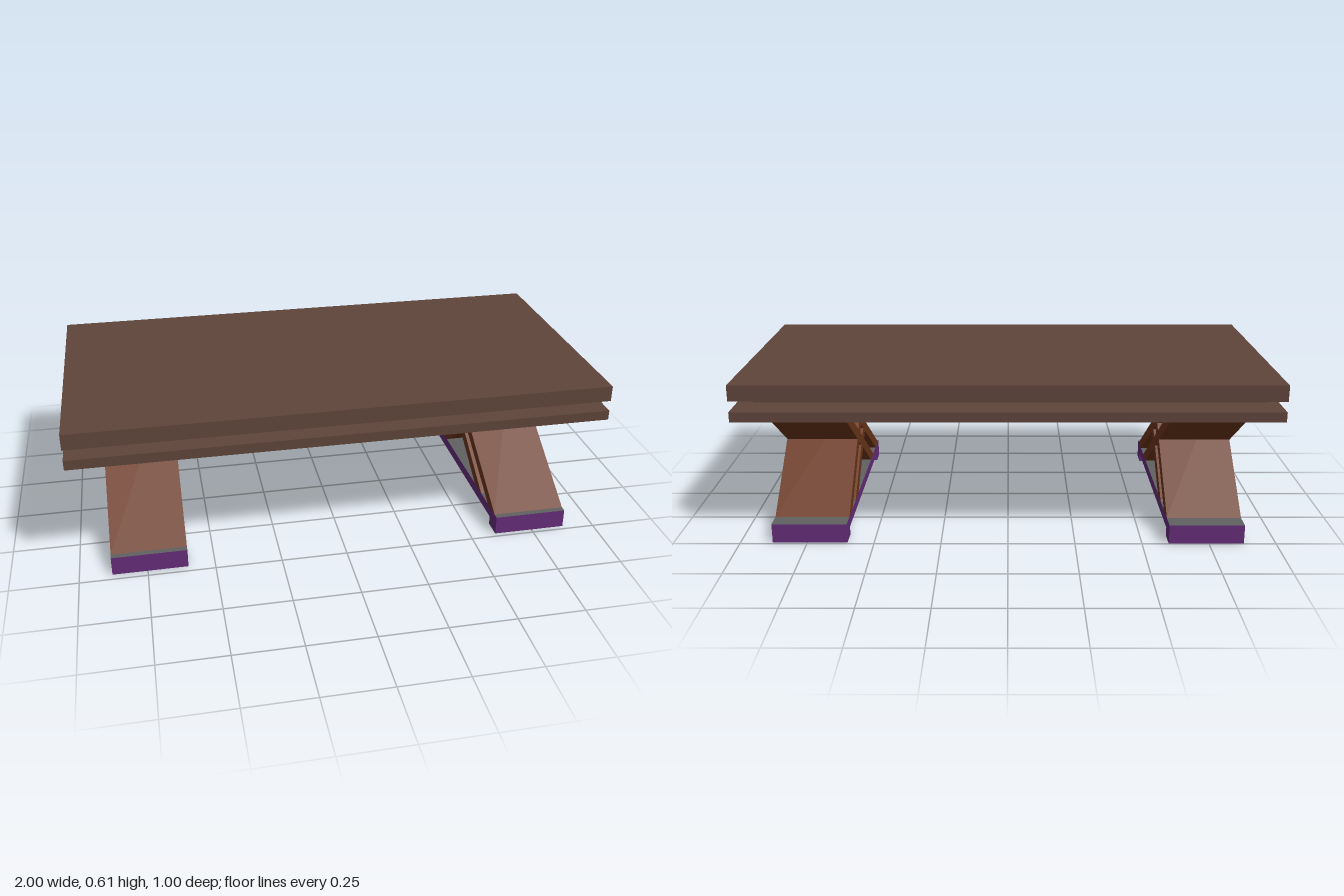
import * as THREE from 'three';

const mat = (color) => new THREE.MeshStandardMaterial({ color });
const tableBrown = mat(0x5f453b);
const plankBrown = mat(0x6b3519);
const purple = mat(0x652d78);
const grey = mat(0x616161);

// Box from its min and max corners
function box(name, [x0, y0, z0], [x1, y1, z1], material) {
  const geo = new THREE.BoxGeometry(x1 - x0, y1 - y0, z1 - z0);
  const mesh = new THREE.Mesh(geo, material);
  mesh.position.set((x0 + x1) / 2, (y0 + y1) / 2, (z0 + z1) / 2);
  mesh.name = name;
  return mesh;
}

// Slanted plank with level ends: zBottom and zTop are the front edges of its two ends
function plank(name, zBottom, zTop, yTop = 0.475) {
  const width = 0.28, run = 0.08, yBottom = 0.073;
  const shape = new THREE.Shape();
  shape.moveTo(-zBottom, yBottom);
  shape.lineTo(-zBottom + run, yBottom);
  shape.lineTo(-zTop + run, yTop);
  shape.lineTo(-zTop, yTop);
  shape.closePath();
  const geo = new THREE.ExtrudeGeometry(shape, { depth: width, bevelEnabled: false });
  geo.translate(0, 0, -width / 2);
  geo.rotateY(Math.PI / 2); // shape x becomes -z, depth runs along x
  const mesh = new THREE.Mesh(geo, plankBrown);
  mesh.name = name;
  return mesh;
}

// Trestle: four crossing planks on a padded foot
function trestle(name, x, z, outerSide) {
  const g = new THREE.Group();
  g.name = name;
  g.add(
    plank('frontRisingPlank', 0.457, -0.22),
    plank('backRisingPlank', 0.295, -0.34, 0.466),
    plank('frontFallingPlank', -0.173, 0.376),
    plank('backFallingPlank', -0.337, 0.197),
  );
  const boardFaces = [outerSide, purple, grey, purple, purple, purple];
  const padFaces = [outerSide, purple, grey, grey, purple, purple];
  g.add(
    box('footBoard', [-0.14, 0.033, -0.488], [0.14, 0.073, 0.481], boardFaces),
    box('frontPad', [-0.14, 0, 0.408], [0.14, 0.033, 0.481], padFaces),
    box('backPad', [-0.14, 0, -0.488], [0.14, 0.033, -0.415], padFaces),
  );
  g.position.set(x, 0, z);
  return g;
}

export function createModel() {
  const model = new THREE.Group();
  model.name = 'table';

  // Layered top
  model.add(
    box('tableTop', [-1, 0.553, -0.5], [1, 0.613, 0.5], tableBrown),
    box('middleLayer', [-0.96, 0.513, -0.378], [0.94, 0.553, 0.38], tableBrown),
    box('lowerShelf', [-1, 0.475, -0.5], [1, 0.513, 0.5], tableBrown),
  );

  // Legs
  model.add(
    trestle('leftTrestle', 0.74, 0, grey),
    trestle('rightTrestle', -0.74, -0.01, purple),
  );
  return model;
}
